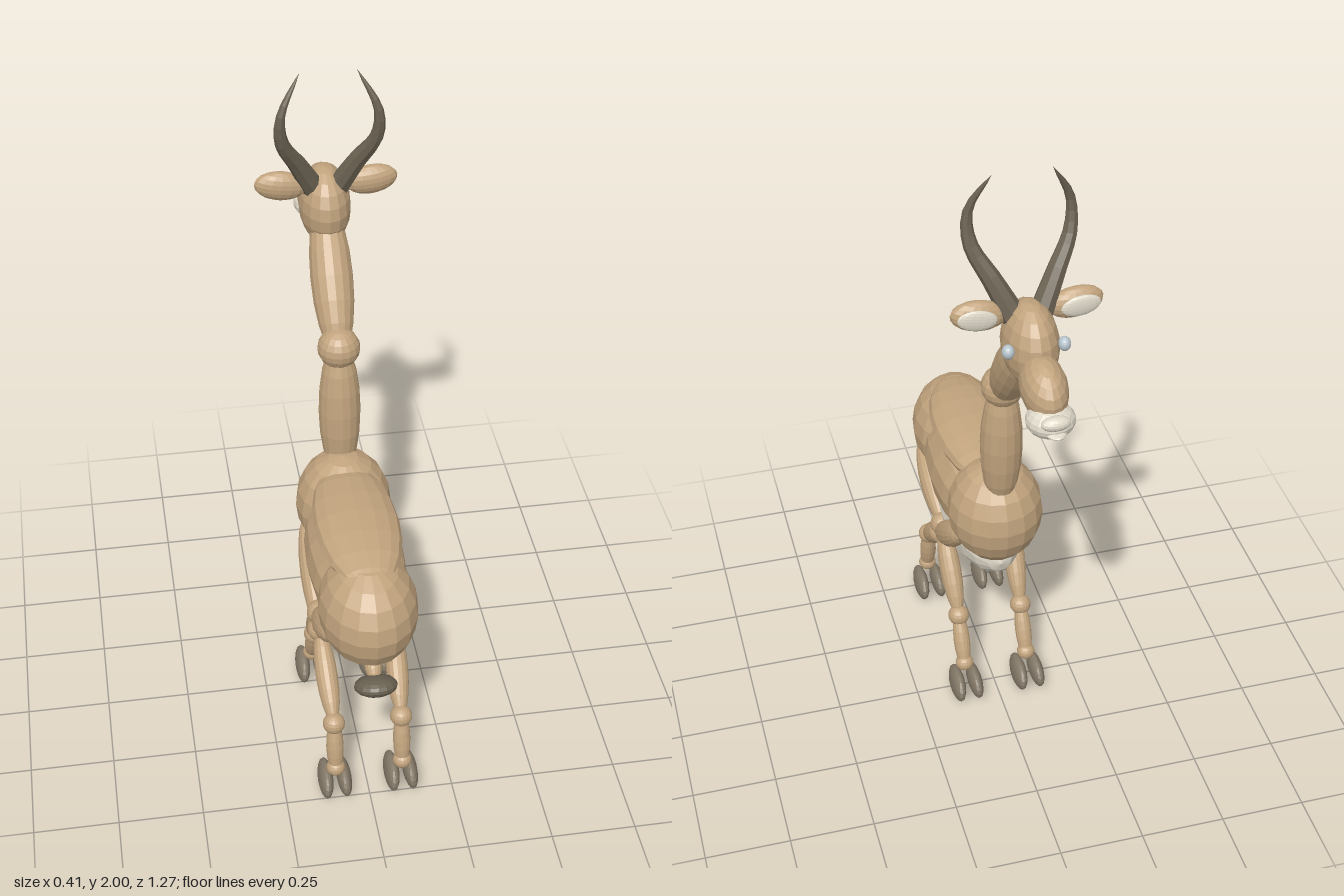
import * as THREE from 'three';

const mat = (name, color) => {
  const m = new THREE.MeshStandardMaterial({ color, flatShading: true });
  m.name = name;
  return m;
};

export function createModel() {
  const model = new THREE.Group();
  const tan = mat('tan coat', 0xc2a47e);
  const cream = mat('cream fur', 0xded8c8);
  const hornMat = mat('dark horn', 0x6b6252);
  const hoofMat = mat('hoof grey', 0x857a69);
  const eyeMat = mat('pale eye', 0xb8c4cc);

  const V = (x, y, z) => new THREE.Vector3(x, y, z);

  // Ellipsoid with its poles along y, or along z when lengthwise
  function blob(name, material, pos, radii, rot = [0, 0, 0], lengthwise = false) {
    const geo = new THREE.SphereGeometry(1, 16, 10);
    if (lengthwise) geo.rotateX(Math.PI / 2);
    geo.scale(...radii);
    const mesh = new THREE.Mesh(geo, material);
    mesh.name = name;
    mesh.position.set(...pos);
    mesh.rotation.set(...rot);
    model.add(mesh);
    return mesh;
  }

  // Long ellipsoid reaching from point a to point b
  function limb(name, a, b, rx, rz = rx) {
    const d = b.clone().sub(a);
    const mid = a.clone().add(b).multiplyScalar(0.5);
    const mesh = blob(name, tan, mid.toArray(), [rx, d.length() / 2, rz]);
    mesh.quaternion.setFromUnitVectors(V(0, 1, 0), d.normalize());
  }

  // Body
  blob('chest', tan, [0, 0.722, -0.015], [0.142, 0.168, 0.148]);
  blob('rump', tan, [0, 0.7, 0.435], [0.142, 0.165, 0.175]);
  blob('torso', tan, [0, 0.685, 0.21], [0.143, 0.155, 0.33], [0, 0, 0], true);
  blob('back', tan, [0, 0.832, 0.235], [0.123, 0.056, 0.28], [0, 0, 0], true);
  blob('belly', cream, [0, 0.555, 0.19], [0.115, 0.122, 0.275], [0, 0, 0], true);

  // Neck
  limb('lowerNeck', V(0, 0.78, -0.07), V(0, 1.24, -0.095), 0.062);
  blob('neckJoint', tan, [0, 1.22, -0.095], [0.062, 0.06, 0.062]);
  limb('upperNeck', V(0, 1.19, -0.085), V(0, 1.56, -0.37), 0.062, 0.066);

  // Head
  blob('head', tan, [0, 1.543, -0.36], [0.075, 0.12, 0.114]);
  blob('snout', tan, [0, 1.49, -0.49], [0.062, 0.078, 0.1], [-0.3, 0, 0]);
  blob('muzzle', cream, [0, 1.435, -0.555], [0.066, 0.045, 0.064]);
  blob('nose', cream, [0, 1.455, -0.603], [0.04, 0.02, 0.022]);
  blob('lips', cream, [0, 1.425, -0.535], [0.042, 0.014, 0.1], [0, 0, 0], true);
  blob('chin', cream, [0, 1.41, -0.46], [0.025, 0.018, 0.025]);

  // Tail
  limb('tailRoot', V(0, 0.6, 0.49), V(0, 0.53, 0.565), 0.025);
  blob('tailTuft', hornMat, [0, 0.527, 0.577], [0.062, 0.03, 0.06], [-0.45, 0, 0]);

  // Curved horn tapering to a point
  function horn(s) {
    const path = new THREE.CatmullRomCurve3([
      V(s * 0.035, 1.61, -0.335), V(s * 0.085, 1.71, -0.3), V(s * 0.132, 1.8, -0.262),
      V(s * 0.135, 1.89, -0.248), V(s * 0.08, 2.0, -0.275),
    ]);
    const rings = 14, sides = 8;
    const geo = new THREE.TubeGeometry(path, rings, 1, sides, false);
    const p = geo.attributes.position;
    for (let i = 0; i <= rings; i++) {
      const t = i / rings, c = path.getPointAt(t);
      const r = 0.033 * Math.pow(1 - t, 0.75) + 0.0005;
      for (let j = 0; j <= sides; j++) {
        const k = i * (sides + 1) + j;
        const v = V(0, 0, 0).fromBufferAttribute(p, k).sub(c).multiplyScalar(r).add(c);
        p.setXYZ(k, v.x, v.y, v.z);
      }
    }
    geo.computeVertexNormals();
    const mesh = new THREE.Mesh(geo, hornMat);
    mesh.name = 'horn';
    model.add(mesh);
  }

  // Leg through four joints, each given as [x, y, z], ending in a cloven hoof
  function leg(name, s, top, knee, hock, fetlock, hoofZ) {
    const [a, b, c, d] = [top, knee, hock, fetlock].map(([x, y, z]) => V(s * x, y, z));
    limb(name + 'Upper', a, b, 0.036, 0.042);
    blob(name + 'Knee', tan, b.toArray(), [0.037, 0.038, 0.038]);
    limb(name + 'Middle', b, c, 0.033, 0.036);
    blob(name + 'Hock', tan, c.toArray(), [0.033, 0.032, 0.033]);
    limb(name + 'Shank', c.clone().lerp(d, -0.1), d.clone().lerp(c, -0.15), 0.026);
    blob(name + 'Fetlock', tan, d.toArray(), [0.028, 0.026, 0.028]);
    for (const k of [-1, 1]) {
      blob(name + 'Hoof', hoofMat, [s * 0.1 + k * 0.028, 0.048, hoofZ],
        [0.022, 0.045, 0.073], [0, 0, k * 0.07]);
    }
  }

  for (const s of [-1, 1]) {
    blob('eye', eyeMat, [s * 0.075, 1.565, -0.42], [0.017, 0.02, 0.019]);
    blob('ear', tan, [s * 0.13, 1.628, -0.33], [0.076, 0.044, 0.03], [0, 0, s * 0.13]);
    blob('innerEar', cream, [s * 0.138, 1.629, -0.355], [0.054, 0.03, 0.01], [0, 0, s * 0.13]);
    horn(s);
    leg('hindLeg', s, [0.113, 0.635, 0.47], [0.108, 0.495, 0.217],
      [0.1, 0.255, 0.05], [0.1, 0.115, -0.018], -0.035);
    leg('foreLeg', s, [0.113, 0.65, -0.035], [0.11, 0.448, 0.237],
      [0.1, 0.265, 0.45], [0.1, 0.115, 0.482], 0.46);
  }

  return model;
}
